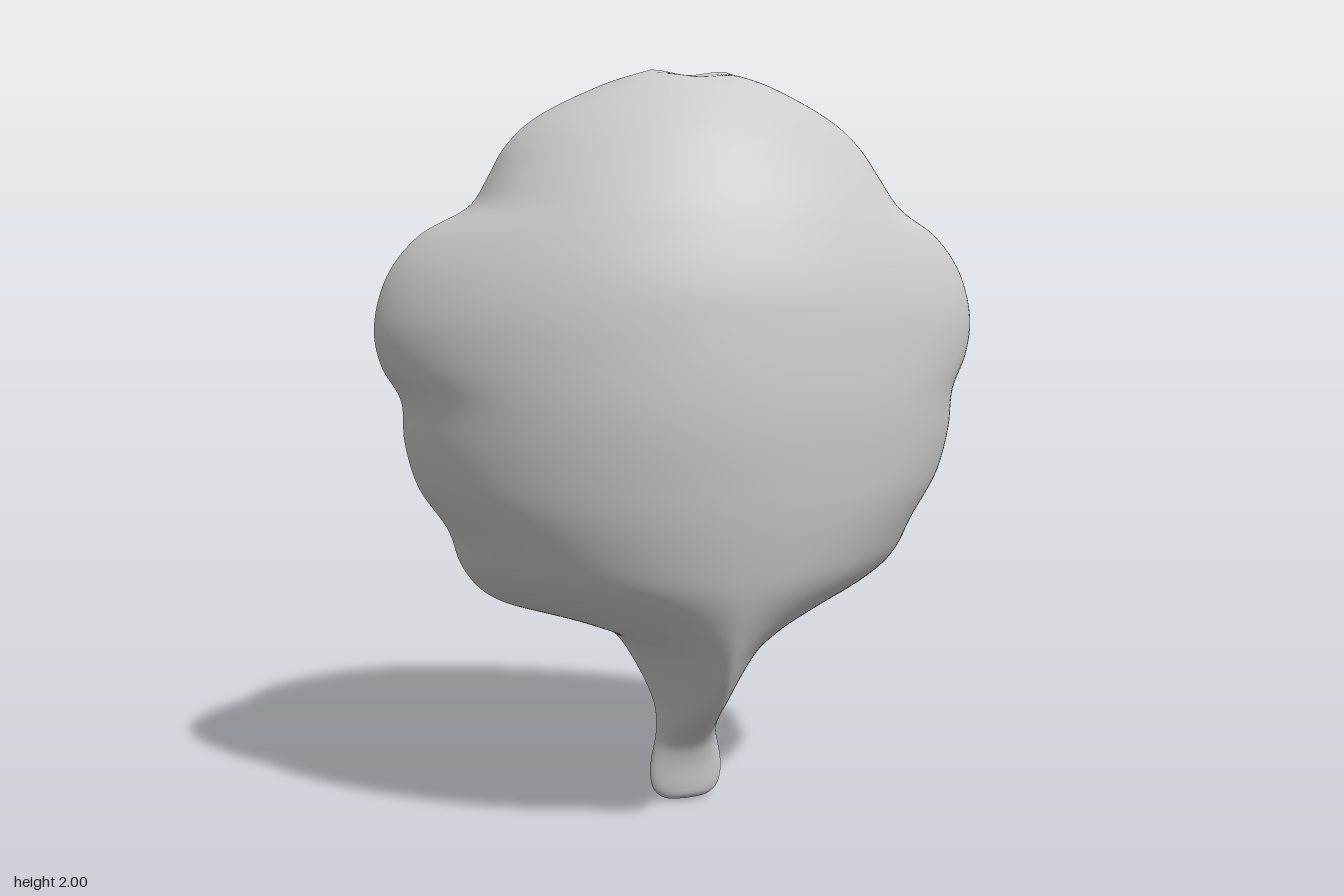
import * as THREE from 'three';
import { mergeGeometries, mergeVertices } from 'three/addons/utils/BufferGeometryUtils.js';

// Half outline from stem tip to crown: [half width, height]
const outline = [
  [0, 0], [0.06, 0.008], [0.092, 0.035], [0.103, 0.08], [0.1, 0.125], [0.086, 0.2], [0.09, 0.28],
  [0.14, 0.4], [0.205, 0.5], [0.25, 0.528], [0.33, 0.552], [0.51, 0.61], [0.575, 0.655],
  [0.62, 0.72], [0.65, 0.81], [0.725, 0.93], [0.757, 1.05], [0.763, 1.155], [0.81, 1.245],
  [0.825, 1.34], [0.79, 1.47], [0.71, 1.57], [0.575, 1.65], [0.53, 1.72], [0.49, 1.79],
  [0.42, 1.86], [0.235, 1.955], [0.1, 2],
];

// Half width of the smooth body, without the notches of the rim: [height, half width]
const bodyWidth = [[0, 0.05], [0.08, 0.103], [0.2, 0.086], [0.28, 0.09], [0.4, 0.15], [0.5, 0.245],
  [0.55, 0.34], [0.6, 0.45], [0.65, 0.54], [0.72, 0.62], [0.81, 0.685], [0.93, 0.745],
  [1.05, 0.782], [1.2, 0.81], [1.34, 0.815], [1.47, 0.778], [1.57, 0.72], [1.65, 0.655],
  [1.75, 0.56], [1.85, 0.44], [1.955, 0.25], [2, 0.1]];

// Depth profiles on the centre line: [height, z]
const frontZ = [[0, -0.085], [0.02, -0.06], [0.11, -0.048], [0.16, -0.033], [0.2, -0.002],
  [0.27, 0.1], [0.365, 0.22], [0.46, 0.3], [0.575, 0.36], [0.73, 0.415], [0.95, 0.452],
  [1.13, 0.463], [1.4, 0.44], [1.61, 0.38], [1.8, 0.275], [1.89, 0.2], [1.95, 0.125],
  [1.98, 0.06], [2, -0.055]];
const backZ = [[0, -0.085], [0.02, -0.11], [0.07, -0.12], [0.2, -0.135], [0.31, -0.19], [0.42, -0.3],
  [0.55, -0.37], [0.73, -0.43], [0.97, -0.46], [1.13, -0.453], [1.45, -0.4], [1.72, -0.325],
  [1.84, -0.27], [1.92, -0.212], [1.965, -0.14], [2, -0.055]];
const seamZ = [[0, -0.085], [0.3, -0.08], [0.7, -0.065], [1.34, -0.065], [2, -0.055]];

// Cross-section height is (1 - |u|^power)^round
const power = [[0, 2], [0.2, 2], [0.4, 1.6], [0.5, 1.5], [0.6, 1.65], [0.75, 2], [2, 2]];
const round = [[0, 0.5], [0.2, 0.55], [0.42, 0.95], [0.55, 0.95], [0.7, 0.75], [0.95, 0.66], [2, 0.66]];

// Smooth interpolation of a [key, value] table without overshoot
function sample(table, y) {
  const n = table.length;
  let i = 0;
  while (i < n - 2 && y > table[i + 1][0]) i++;
  const slope = (k) => (table[k + 1][1] - table[k][1]) / (table[k + 1][0] - table[k][0]);
  const tangent = (k) => {
    if (k === 0) return slope(0);
    if (k === n - 1) return slope(n - 2);
    const a = slope(k - 1), b = slope(k);
    return a * b <= 0 ? 0 : (2 * a * b) / (a + b);
  };
  const h = table[i + 1][0] - table[i][0];
  const t = THREE.MathUtils.clamp((y - table[i][0]) / h, 0, 1);
  const t2 = t * t, t3 = t2 * t;
  return (2 * t3 - 3 * t2 + 1) * table[i][1] + (t3 - 2 * t2 + t) * h * tangent(i)
    + (3 * t2 - 2 * t3) * table[i + 1][1] + (t3 - t2) * h * tangent(i + 1);
}

// One domed half, built row by row up the outline
function shell(depth, isFront) {
  const rows = 220, cols = 72;
  const curve = new THREE.CatmullRomCurve3(
    outline.map(([w, y]) => new THREE.Vector3(w, y, 0)), false, 'centripetal');
  curve.arcLengthDivisions = 1000;
  const positions = [], index = [];
  curve.getSpacedPoints(rows).forEach((p, r) => {
    const y = THREE.MathUtils.clamp(p.y, 0, 2);
    const seam = sample(seamZ, y), rise = sample(depth, y) - seam;
    const pw = sample(power, y), rd = sample(round, y);
    // below the body the stem follows its outline directly
    const rim = Math.max(p.x, 0);
    const body = THREE.MathUtils.lerp(rim, sample(bodyWidth, y), THREE.MathUtils.smoothstep(y, 0.2, 0.45));
    for (let c = 0; c <= cols; c++) {
      const u = Math.sin((c / cols - 0.5) * Math.PI);
      // lobes and notches only bend the outer part of the row
      const x = u * (body + (rim - body) * Math.abs(u) ** 4);
      const dome = Math.pow(Math.max(0, 1 - Math.pow(Math.abs(u), pw)), rd);
      // slight dip in the middle of the crown
      const dip = 0.012 * Math.exp(-((x / 0.06) ** 2)) * THREE.MathUtils.smoothstep(y, 1.95, 2);
      positions.push(x, y - dip, seam + rise * dome);
      if (r < rows && c < cols) {
        const a = r * (cols + 1) + c, b = a + 1, d = a + cols + 1, e = d + 1;
        if (isFront) index.push(a, b, d, b, e, d);
        else index.push(a, d, b, b, d, e);
      }
    }
  });
  const geometry = new THREE.BufferGeometry();
  geometry.setAttribute('position', new THREE.Float32BufferAttribute(positions, 3));
  geometry.setIndex(index);
  return geometry;
}

export function createModel() {
  const group = new THREE.Group();
  group.name = 'puffedLeaf';
  // Both halves are welded along the rim into one smooth skin
  const skin = mergeVertices(mergeGeometries([shell(frontZ, true), shell(backZ, false)]), 1e-5);
  skin.computeVertexNormals();
  const leaf = new THREE.Mesh(skin, new THREE.MeshStandardMaterial({ color: 0xcccccc }));
  leaf.name = 'leafBodyWithStem';
  group.add(leaf);
  return group;
}
